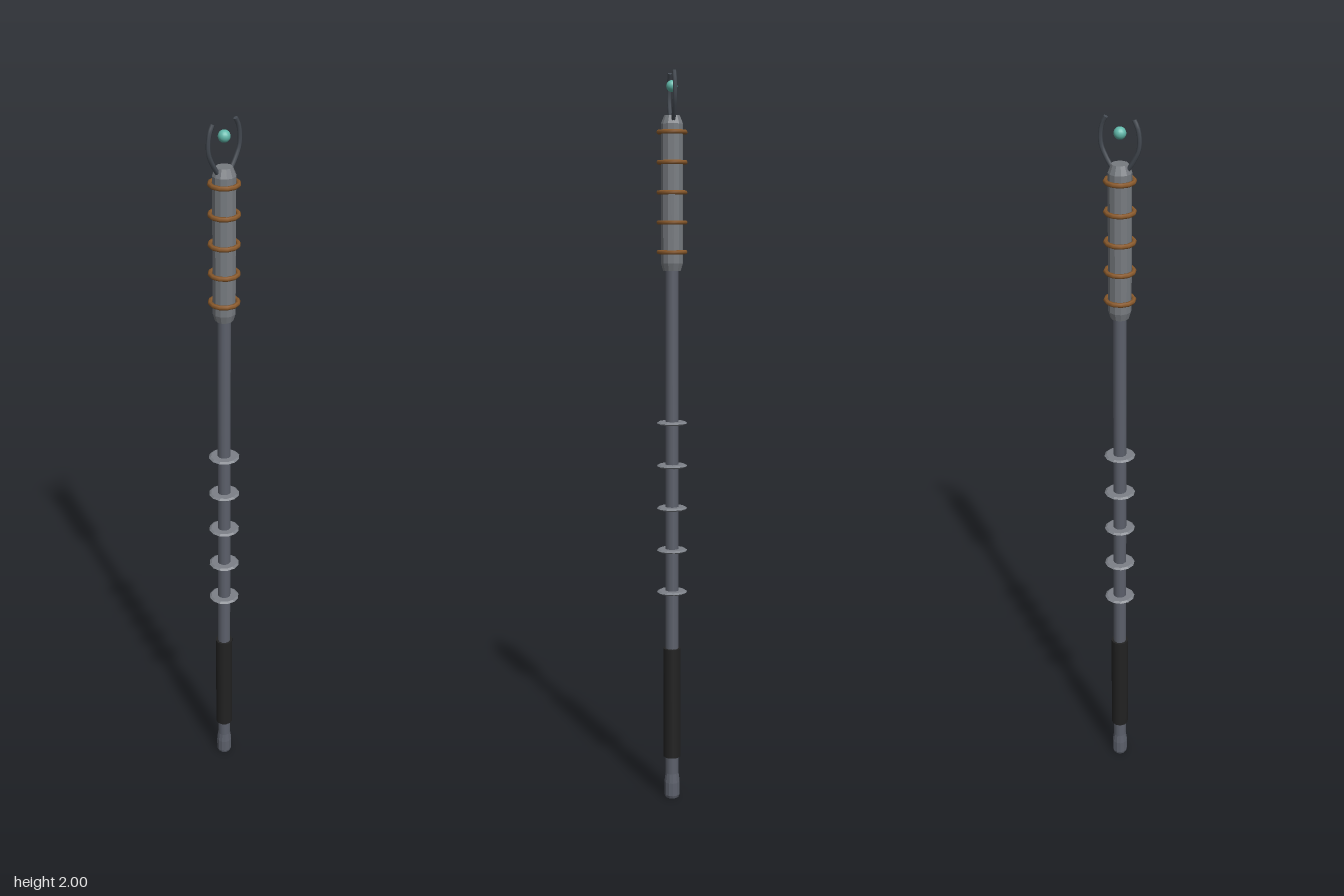
import * as THREE from 'three';

const material = (name, color) => {
  const m = new THREE.MeshStandardMaterial({ color });
  m.name = name;
  return m;
};

export function createModel() {
  const group = new THREE.Group();
  const steel = material('blue grey steel', 0x5c606b);
  const casing = material('casing grey', 0x777b80);
  const leather = material('black grip', 0x222222);
  const copper = material('copper', 0x8a5a2c);
  const iron = material('dark iron', 0x444a52);
  const finMetal = material('fin grey', 0x7c8087);
  const crystal = material('teal crystal', 0x62b9ab);

  const add = (name, geometry, mat, x = 0, y = 0, z = 0) => {
    const mesh = new THREE.Mesh(geometry, mat);
    mesh.name = name;
    mesh.position.set(x, y, z);
    group.add(mesh);
    return mesh;
  };
  // Faceted turned part from [radius, height] pairs
  const turned = (points, sides) => {
    const g = new THREE.LatheGeometry(points.map(([r, y]) => new THREE.Vector2(r, y)), sides).toNonIndexed();
    g.computeVertexNormals();
    return g;
  };

  // Shaft, pommel and grip
  add('shaft', new THREE.CylinderGeometry(0.0175, 0.0185, 1.44, 12), steel, 0, 0.78);
  add('pommel', turned([[0, 0], [0.019, 0], [0.022, 0.008], [0.022, 0.045], [0.018, 0.075], [0, 0.075]], 12), steel);
  add('grip', new THREE.CylinderGeometry(0.0245, 0.0245, 0.315, 12), leather, 0, 0.2775);

  // Thin cooling fins along the shaft
  for (let i = 0; i < 5; i++) {
    add('shaftFin', turned([[0.017, -0.004], [0.036, -0.004], [0.042, 0], [0.036, 0.004], [0.017, 0.004]], 12),
      finMetal, 0, 0.597 + i * 0.118);
  }

  // Head casing with chamfered ends and copper coils
  add('headCasing', turned([[0, 1.48], [0.024, 1.48], [0.03, 1.5], [0.03, 1.865], [0.021, 1.887], [0, 1.887]], 12), casing);
  for (let i = 0; i < 5; i++) {
    const coil = add('copperCoil', new THREE.TorusGeometry(0.036, 0.0062, 6, 12), copper, 0, 1.53 + i * 0.0785);
    coil.rotation.x = Math.PI / 2;
  }

  // Two curved prongs around the crystal
  for (const side of [1, -1]) {
    const path = new THREE.CatmullRomCurve3([
      [0.022, 1.875], [0.036, 1.897], [0.049, 1.925], [0.0515, 1.95], [0.047, 1.978], [0.037, 1.998],
    ].map(([x, y]) => new THREE.Vector3(side * x, y, 0)));
    add(side > 0 ? 'leftProng' : 'rightProng', new THREE.TubeGeometry(path, 12, 0.0058, 6), iron);
    // Closed prong tip
    const tip = add('prongTip', new THREE.CircleGeometry(0.0058, 6), iron, side * 0.037, 1.998);
    tip.lookAt(tip.position.clone().add(path.getTangent(1)));
  }

  // Floating crystal
  add('crystal', new THREE.SphereGeometry(0.0155, 16, 12), crystal, 0, 1.962);

  return group;
}
